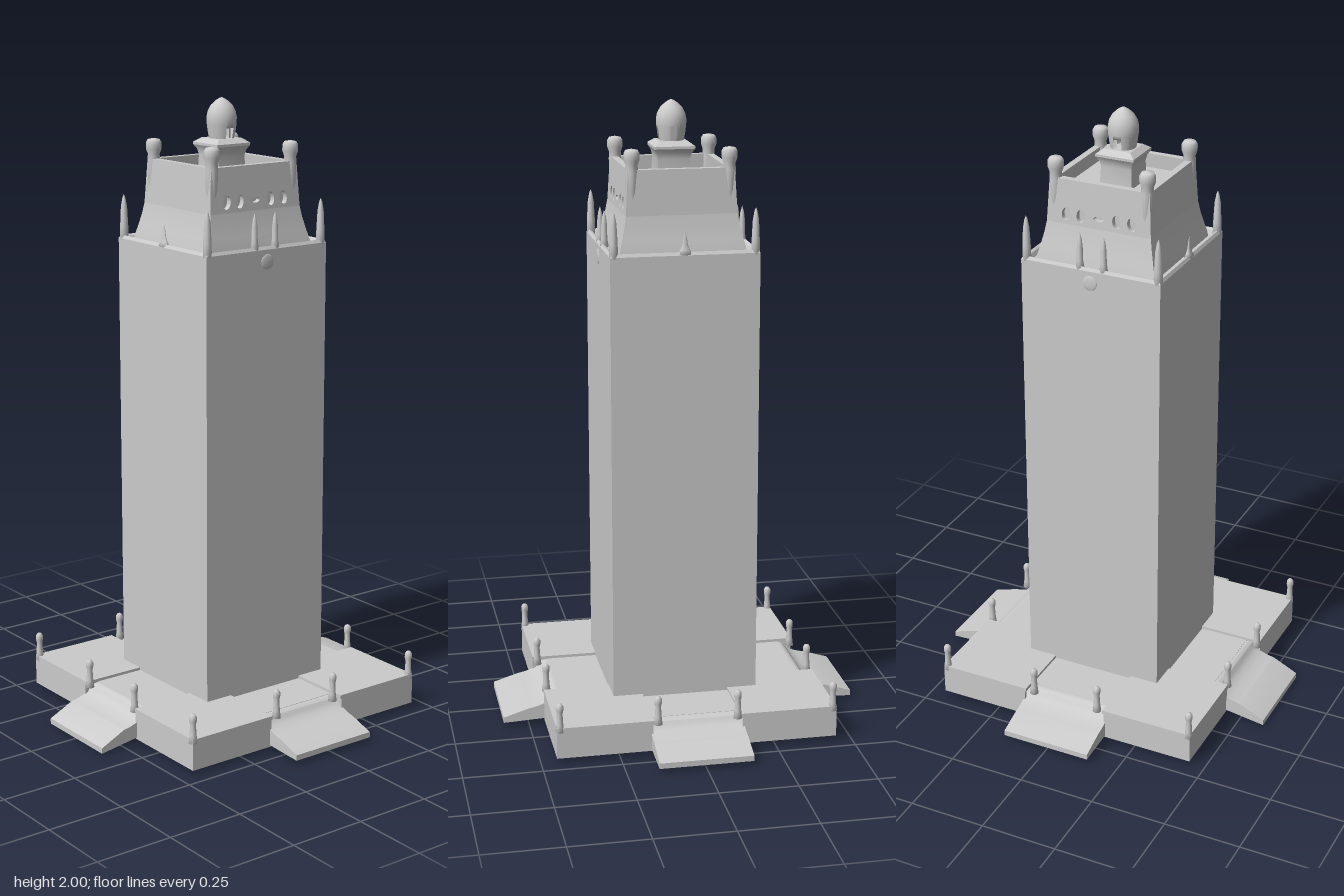
import * as THREE from 'three';
import { toCreasedNormals } from 'three/addons/utils/BufferGeometryUtils.js';

const grey = new THREE.MeshStandardMaterial({ color: 0xcccccc, side: THREE.DoubleSide });
const v2 = (pts) => pts.map(([a, b]) => new THREE.Vector2(a, b));

// Square tower section lofted through [halfWidth, y] pairs
const squareLoft = (pts) => toCreasedNormals(
  new THREE.LatheGeometry(v2(pts.map(([h, y]) => [h * Math.SQRT2, y])), 4, Math.PI / 4), 0.4);

// Round turned piece through [radius, y] pairs
const turned = (pts, segments = 16) => new THREE.LatheGeometry(v2(pts), segments);

const extrude = (shape, depth) => new THREE.ExtrudeGeometry(shape, { depth, bevelEnabled: false, curveSegments: 16 });

// Side profile in [distance outward, y], extruded across x and centred at the given x
const acrossX = (shape, width, x = 0) => {
  const g = extrude(shape, width);
  g.translate(0, 0, -width / 2);
  g.rotateY(-Math.PI / 2);
  g.translate(x, 0, 0);
  return toCreasedNormals(g, 0.6);
};

export function createModel() {
  const model = new THREE.Group();
  const add = (name, geometry, x = 0, y = 0, z = 0, turn = 0) => {
    const mesh = new THREE.Mesh(geometry, grey);
    mesh.name = name;
    mesh.position.set(x, y, z);
    mesh.rotation.y = turn;
    model.add(mesh);
  };
  const corners = [[1, 1], [1, -1], [-1, -1], [-1, 1]];

  // Deck of the hollow plinth, with a notch on each side for the ramps
  const outline = [];
  for (let i = 0; i < 4; i++) {
    const c = Math.cos(i * Math.PI / 2), s = Math.sin(i * Math.PI / 2);
    for (const [a, b] of [[0.40, -0.15], [0.40, 0.15], [0.45, 0.15], [0.45, 0.45], [0.15, 0.45]])
      outline.push([a * c - b * s, a * s + b * c]);
  }
  const deck = extrude(new THREE.Shape(v2(outline)), 0.02);
  deck.rotateX(-Math.PI / 2);
  add('deck', deck, 0, 0.086, 0);

  // Slightly raised corner terraces
  for (const [sx, sz] of corners)
    add('cornerTerrace', new THREE.BoxGeometry(0.31, 0.012, 0.31), sx * 0.295, 0.109, sz * 0.295);

  for (let i = 0; i < 4; i++) {
    const turn = i * Math.PI / 2;
    // The front ramp dips to the ground
    const tip = i === 0 ? 0 : 0.014;

    // Ramp plate curving down from the deck
    const plate = new THREE.Shape();
    plate.moveTo(0.40, 0.086);
    plate.quadraticCurveTo(0.412, 0.086, 0.418, 0.072);
    plate.quadraticCurveTo(0.43, 0.052, 0.50, 0.04);
    plate.lineTo(0.583, tip);
    plate.lineTo(0.583, tip + 0.018);
    plate.lineTo(0.50, 0.058);
    plate.quadraticCurveTo(0.44, 0.068, 0.425, 0.092);
    plate.quadraticCurveTo(0.418, 0.105, 0.40, 0.105);
    add('ramp', acrossX(plate, 0.3), 0, 0, 0, turn);

    // Ramp cheeks and the plinth walls on either side
    const cheek = new THREE.Shape(v2([[0.40, 0.015], [0.45, 0.02], [0.583, tip], [0.50, 0.05], [0.43, 0.07], [0.40, 0.1]]));
    for (const s of [1, -1]) {
      add('rampCheek', acrossX(cheek, 0.012, s * 0.144), 0, 0, 0, turn);
      const wall = new THREE.BoxGeometry(0.306, 0.1, 0.012);
      wall.translate(s * 0.297, 0.064, 0.444);
      add('plinthWall', wall, 0, 0, 0, turn);
    }
  }

  // Knobbed posts at the plinth corners and beside the ramps
  const post = turned([[0, 0.095], [0.014, 0.1], [0.011, 0.125], [0.009, 0.16], [0.012, 0.172],
    [0.012, 0.185], [0.007, 0.193], [0, 0.195]], 12);
  for (const [sx, sz] of corners) {
    add('cornerPost', post, sx * 0.439, 0, sz * 0.441);
    add('rampPost', post, sx * 0.128, 0, sz * 0.443);
    add('rampPost', post, sx * 0.438, 0, sz * 0.115);
  }

  // Shaft with a low parapet around its roof
  add('shaft', squareLoft([[0, 0.1], [0.235, 0.1], [0.235, 1.55], [0.229, 1.56],
    [0.22, 1.556], [0.213, 1.542], [0, 1.542]]));

  // Pinnacles on the parapet
  const cornerPinnacle = turned([[0, 1.54], [0.014, 1.545], [0.013, 1.59], [0.01, 1.65], [0.005, 1.678], [0, 1.69]], 12);
  for (const [sx, sz] of corners) add('cornerPinnacle', cornerPinnacle, sx * 0.222, 0, sz * 0.222);
  const frontPinnacle = turned([[0, 1.54], [0.026, 1.552], [0.015, 1.566], [0.009, 1.58], [0.006, 1.6], [0, 1.622]]);
  frontPinnacle.scale(1, 1, 0.5);
  const sidePinnacle = turned([[0, 1.54], [0.014, 1.55], [0.01, 1.575], [0.009, 1.62], [0.006, 1.645], [0, 1.665]], 12);
  const roundel = new THREE.SphereGeometry(0.024, 24, 12);
  roundel.scale(0.15, 1, 1);
  for (const s of [1, -1]) {
    add('middlePinnacle', frontPinnacle, 0, 0, s * 0.224);
    for (const z of [0.04, -0.04]) add('sidePinnacle', sidePinnacle, s * 0.221, 0, z);
    // Round ornament under the side pinnacles
    add('roundel', roundel, s * 0.235, 1.512, 0);
  }

  // Crown: flared foot and solid core
  add('crownFoot', squareLoft([[0, 1.53], [0.203, 1.53], [0.198, 1.56], [0.189, 1.595], [0.181, 1.63], [0.175, 1.665], [0, 1.665]]));
  add('crownCore', new THREE.BoxGeometry(0.31, 0.1, 0.31), 0, 1.71, 0);

  // Crown walls leaning in slightly; the two side walls carry windows
  for (let i = 0; i < 4; i++) {
    const wall = new THREE.Shape(v2([[-0.175, 1.665], [0.175, 1.665], [0.167, 1.806], [-0.167, 1.806]]));
    if (i % 2) for (const u of [-0.11, -0.06, 0, 0.06, 0.11]) {
      const hole = new THREE.Path();
      hole.absellipse(u, 1.697, u ? 0.014 : 0.017, u ? 0.021 : 0.008, 0, Math.PI * 2, true, u * 2);
      wall.holes.push(hole);
    }
    const panel = extrude(wall, 0.022);
    const p = panel.attributes.position;
    for (let k = 0; k < p.count; k++)
      p.setZ(k, p.getZ(k) + 0.153 - (p.getY(k) - 1.665) * 0.056);
    panel.computeVertexNormals();
    add('crownWall', panel, 0, 0, 0, i * Math.PI / 2);
  }

  // Crown corner turrets with knobs
  const turret = turned([[0, 1.68], [0.019, 1.7], [0.02, 1.8], [0.019, 1.82], [0.025, 1.836], [0.025, 1.856], [0.019, 1.866], [0, 1.87]]);
  for (const [sx, sz] of corners) add('crownTurret', turret, sx * 0.153, 0, sz * 0.153);

  // Lantern: flared pedestal, round drum open to both sides, pointed dome
  add('lanternPedestal', squareLoft([[0, 1.74], [0.055, 1.74], [0.051, 1.82], [0.055, 1.838], [0.064, 1.852], [0.064, 1.86], [0.045, 1.874], [0, 1.874]]));
  const pier = new THREE.LatheGeometry(v2([[0.028, 1.868], [0.039, 1.868], [0.044, 1.895], [0.047, 1.92], [0.028, 1.92], [0.028, 1.868]]),
    16, Math.PI / 2 + 0.3, Math.PI - 0.6);
  for (const turn of [0, Math.PI]) add('lanternPier', toCreasedNormals(pier, 0.6), 0, 0, 0, turn);
  add('lanternDome', turned([[0, 1.907], [0.045, 1.907], [0.047, 1.92], [0.048, 1.938], [0.044, 1.958],
    [0.034, 1.976], [0.019, 1.99], [0.008, 1.997], [0, 2]], 24));

  return model;
}
